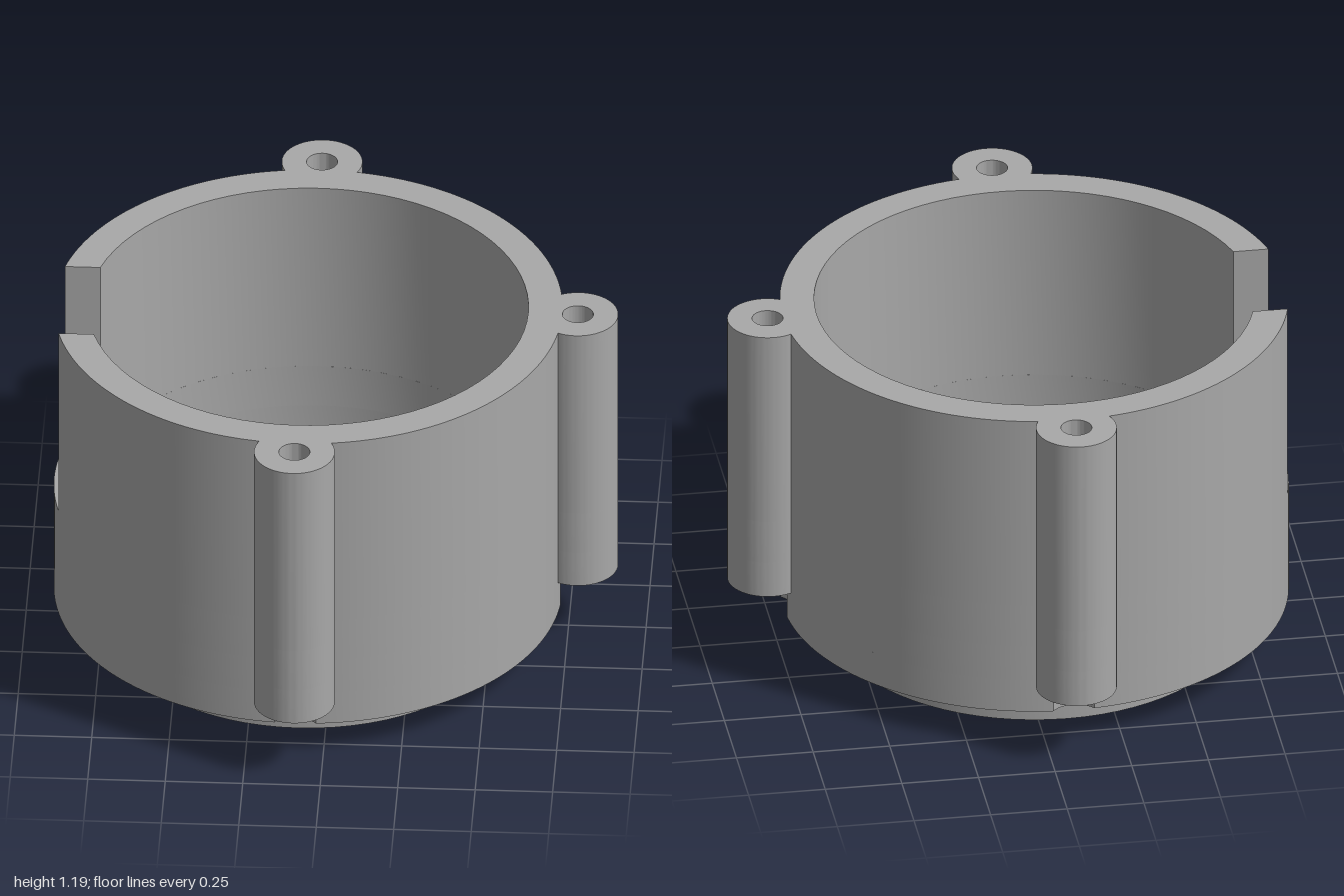
import * as THREE from 'three';
import { toCreasedNormals } from 'three/addons/utils/BufferGeometryUtils.js';

const BODY_R = 0.82, BORE_R = 0.71, FLOOR_R = 0.5;
const BOSS_D = 0.87, BOSS_R = 0.13, SCREW_R = 0.05, HEAD_R = 0.085;
const SLOT_HALF = 0.2;
const BOSS_ANGLES = [-Math.PI / 2, 0, Math.PI / 2];

// Circular hole path
function circle(x, y, r) {
  return new THREE.Path().absarc(x, y, r, 0, Math.PI * 2, true);
}

// Body outline joined with circles of radius r at the boss positions:
// bulging outward, or biting inward as grooves
function bodyOutline(r, inward, slotted) {
  const a = Math.acos((BODY_R ** 2 + BOSS_D ** 2 - r ** 2) / (2 * BODY_R * BOSS_D));
  const b = Math.atan2(BODY_R * Math.sin(a), BODY_R * Math.cos(a) - BOSS_D);
  const n0 = slotted ? Math.asin(SLOT_HALF / BODY_R) : 0;
  const n1 = Math.asin(SLOT_HALF / BORE_R);
  const s = new THREE.Shape();
  let from = -Math.PI + n0;
  for (const t of BOSS_ANGLES) {
    s.absarc(0, 0, BODY_R, from, t - a, false);
    s.absarc(BOSS_D * Math.cos(t), BOSS_D * Math.sin(t), r, t - b, t + b, inward);
    from = t + a;
  }
  s.absarc(0, 0, BODY_R, from, Math.PI - n0, false);
  if (slotted) s.absarc(0, 0, BORE_R, Math.PI - n1, -Math.PI + n1, true);
  s.closePath();
  return s;
}

// Holes down the bosses
function addBossHoles(shape, r) {
  for (const t of BOSS_ANGLES) {
    shape.holes.push(circle(BOSS_D * Math.cos(t), BOSS_D * Math.sin(t), r));
  }
  return shape;
}

export function createModel() {
  const group = new THREE.Group();
  group.name = 'housing';
  const grey = new THREE.MeshStandardMaterial({ color: 0xa8a8a8 });
  grey.name = 'grey plastic';

  // Extrude a plan shape between two heights
  function layer(name, shape, y0, y1) {
    const geo = new THREE.ExtrudeGeometry(shape, {
      depth: y1 - y0, bevelEnabled: false, curveSegments: 36,
    });
    geo.rotateX(-Math.PI / 2);
    const mesh = new THREE.Mesh(toCreasedNormals(geo, Math.PI / 6), grey);
    mesh.name = name;
    mesh.position.set(-0.09, y0, 0);
    group.add(mesh);
  }

  // Locating lip under the floor
  const lip = new THREE.Shape().absarc(0, 0, 0.66, 0, Math.PI * 2, false);
  lip.holes.push(circle(0, 0, 0.58));
  layer('bottomLip', lip, 0, 0.12);

  // Floor ring with screw-head grooves in its rim
  const floor = bodyOutline(HEAD_R, true, false);
  floor.holes.push(circle(0, 0, FLOOR_R));
  layer('floorRing', floor, 0.12, 0.235);

  // Wall with the wide screw-head pockets in the bosses
  const pocketWall = addBossHoles(bodyOutline(BOSS_R, false, false), HEAD_R);
  pocketWall.holes.push(circle(0, 0, BORE_R));
  layer('pocketWall', pocketWall, 0.235, 0.36);

  // Wall with narrow screw holes up to the slot sill
  const lowerWall = addBossHoles(bodyOutline(BOSS_R, false, false), SCREW_R);
  lowerWall.holes.push(circle(0, 0, BORE_R));
  layer('lowerWall', lowerWall, 0.36, 0.51);

  // Upper wall, open at the side slot
  layer('slottedWall', addBossHoles(bodyOutline(BOSS_R, false, true), SCREW_R), 0.51, 1.19);

  return group;
}
